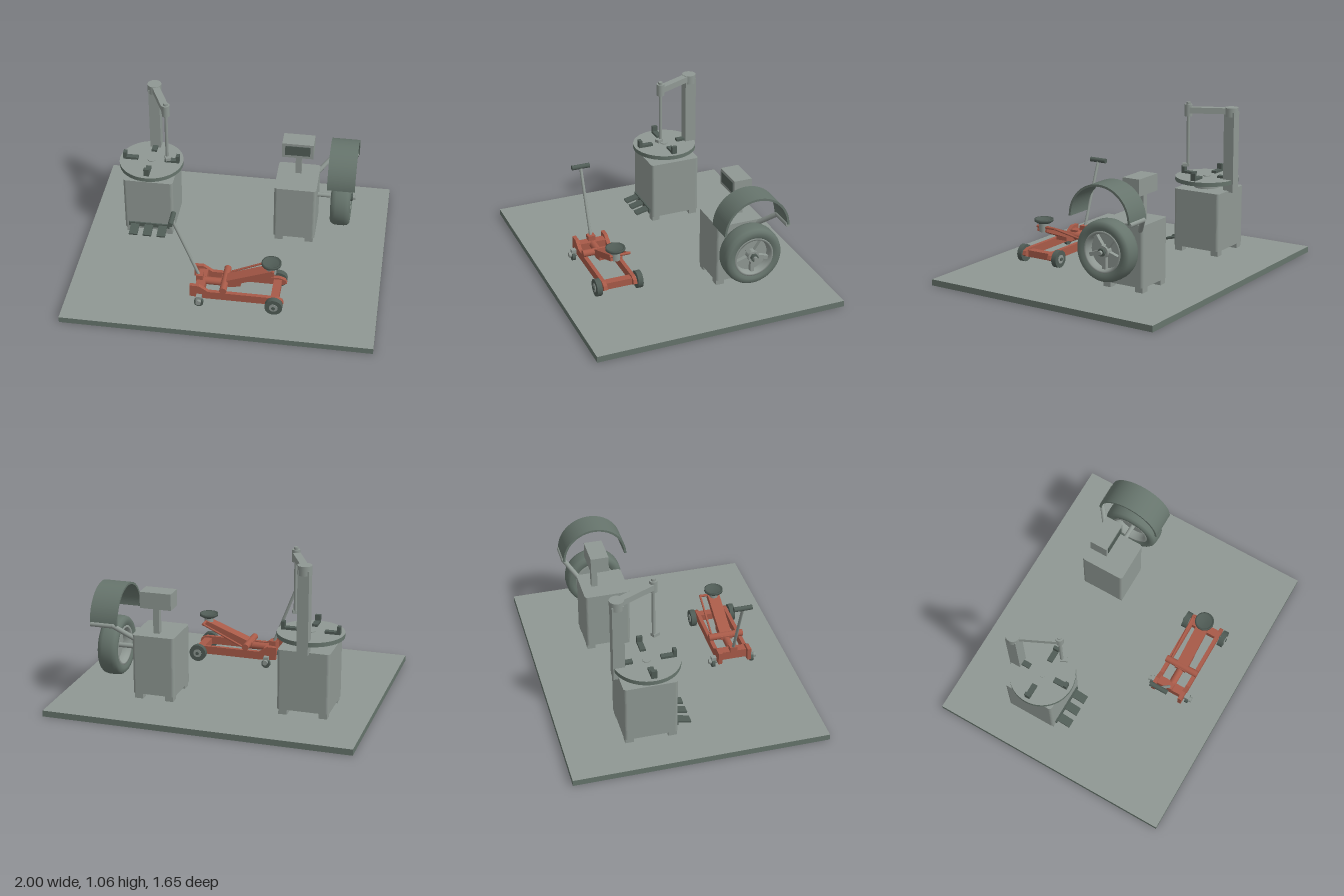
import * as THREE from 'three';

const mat = (name, color, side = THREE.FrontSide) => {
  const m = new THREE.MeshStandardMaterial({ color, side });
  m.name = name;
  return m;
};

export function createModel() {
  const light = mat('light grey paint', 0x8f9893);
  const green = mat('green grey rubber', 0x66746c, THREE.DoubleSide);
  const dark = mat('dark steel', 0x505c56);
  const red = mat('red paint', 0xa85a48);
  const root = new THREE.Group();
  root.name = 'tyreWorkshop';

  const group = (name) => {
    const g = new THREE.Group();
    g.name = name;
    root.add(g);
    return g;
  };
  const add = (parent, name, geo, m, x = 0, y = 0, z = 0) => {
    const mesh = new THREE.Mesh(geo, m);
    mesh.name = name;
    mesh.position.set(x, y, z);
    parent.add(mesh);
    return mesh;
  };
  const box = (p, name, m, w, h, d, x, y, z) => add(p, name, new THREE.BoxGeometry(w, h, d), m, x, y, z);
  const cyl = (p, name, m, r, h, x, y, z, axis = 'y', seg = 24) => {
    const c = add(p, name, new THREE.CylinderGeometry(r, r, h, seg), m, x, y, z);
    if (axis === 'x') c.rotation.z = -Math.PI / 2;
    if (axis === 'z') c.rotation.x = Math.PI / 2;
    return c;
  };
  // round bar between two points
  const bar = (p, name, m, r, a, b) => {
    const A = new THREE.Vector3(...a), B = new THREE.Vector3(...b);
    const c = cyl(p, name, m, r, A.distanceTo(B), 0, 0, 0, 'y', 16);
    c.position.copy(A).lerp(B, 0.5);
    c.quaternion.setFromUnitVectors(new THREE.Vector3(0, 1, 0), B.sub(A).normalize());
    return c;
  };
  // upright cabinet with rounded vertical corners
  const cabinet = (p, w, d, y0, y1, x, z, r = 0.02) => {
    const s = new THREE.Shape();
    const a = w / 2 - r, b = d / 2 - r;
    s.absarc(a, b, r, 0, Math.PI / 2);
    s.absarc(-a, b, r, Math.PI / 2, Math.PI);
    s.absarc(-a, -b, r, Math.PI, Math.PI * 1.5);
    s.absarc(a, -b, r, Math.PI * 1.5, Math.PI * 2);
    const g = new THREE.ExtrudeGeometry(s, { depth: y1 - y0, bevelEnabled: false, curveSegments: 5 });
    add(p, 'cabinet', g.rotateX(-Math.PI / 2), light, x, y0, z);
    for (const i of [-1, 1]) for (const j of [-1, 1])
      box(p, 'foot', light, 0.055, 0.04, 0.055, x + i * (w / 2 - 0.038), 0.06, z + j * (d / 2 - 0.034));
  };
  // side profile in x and y, extruded along z
  const plate = (p, name, m, pts, depth, z) => {
    const s = new THREE.Shape(pts.map(([x, y]) => new THREE.Vector2(x, y)));
    return add(p, name, new THREE.ExtrudeGeometry(s, { depth, bevelEnabled: false }), m, 0, 0, z - depth / 2);
  };

  // Floor slab
  box(root, 'floor', [green, green, light, light, green, green], 2, 0.04, 1.654, 0, 0.02, 0);

  // Tyre changer: cabinet, turntable and jaws
  const ch = group('tyreChanger');
  const cx = -0.59, cz = -0.256;
  cabinet(ch, 0.335, 0.345, 0.075, 0.47, cx, -0.27);
  cyl(ch, 'turntableNeck', light, 0.085, 0.046, cx, 0.493, cz, 'y', 32);
  add(ch, 'turntable', new THREE.CylinderGeometry(0.214, 0.214, 0.028, 48), [green, light, light], cx, 0.53, cz);
  cyl(ch, 'turntableHub', light, 0.027, 0.006, cx, 0.546, cz);
  for (let i = 0; i < 4; i++) {
    const jaw = new THREE.Group();
    jaw.name = 'jaw';
    jaw.position.set(cx, 0.544, cz);
    jaw.rotation.y = i * Math.PI / 2;
    box(jaw, 'jawSlide', dark, 0.1, 0.016, 0.036, 0.14, 0.008, 0);
    box(jaw, 'jawClaw', dark, 0.022, 0.052, 0.036, 0.179, 0.026, 0);
    ch.add(jaw);
  }
  // column, swing arm and mounting rod
  const hx = -0.467, hz = -0.179, kz = -0.438;
  box(ch, 'column', light, 0.072, 0.54, 0.075, cx, 0.73, kz);
  cyl(ch, 'columnCap', light, 0.046, 0.06, cx, 1.0, kz);
  const len = Math.hypot(hx - cx, hz - kz), turn = Math.atan2(hx - cx, hz - kz);
  box(ch, 'swingArm', light, 0.048, 0.04, len, (cx + hx) / 2, 1.007, (kz + hz) / 2).rotation.y = turn;
  cyl(ch, 'armHead', light, 0.026, 0.08, hx, 1.005, hz);
  cyl(ch, 'mountingRod', light, 0.011, 0.43, hx, 0.845, hz, 'y', 16);
  cyl(ch, 'rodKnob', light, 0.015, 0.02, hx, 1.05, hz, 'y', 16);
  box(ch, 'mountingFoot', light, 0.034, 0.02, 0.046, hx + 0.005, 0.635, hz + 0.012).rotation.y = turn;
  // pedals
  box(ch, 'pedalBar', dark, 0.28, 0.03, 0.012, cx, 0.113, -0.093);
  for (const i of [-1, 0, 1])
    box(ch, 'pedal', dark, 0.058, 0.012, 0.105, cx + i * 0.095, 0.105, -0.052).rotation.x = 0.24;

  // Wheel balancer: cabinet and display
  const ba = group('wheelBalancer');
  cabinet(ba, 0.28, 0.305, 0.075, 0.47, 0.39, -0.306);
  box(ba, 'displayPost', light, 0.04, 0.18, 0.04, 0.39, 0.56, -0.367);
  box(ba, 'displayBox', light, 0.208, 0.108, 0.12, 0.387, 0.692, -0.346);
  box(ba, 'screen', dark, 0.166, 0.07, 0.006, 0.387, 0.694, -0.285);
  const wy = 0.337, wz = -0.309;
  cyl(ba, 'shaft', light, 0.016, 0.25, 0.64, wy, wz, 'x');

  // mounted wheel, built along its own y axis
  const wheel = new THREE.Group();
  wheel.name = 'wheel';
  wheel.position.set(0.692, wy, wz);
  wheel.rotation.z = -Math.PI / 2;
  ba.add(wheel);
  const lathe = (pts, seg) => new THREE.LatheGeometry(pts.map(([r, y]) => new THREE.Vector2(r, y)), seg);
  add(wheel, 'tyre', lathe([[0.128, -0.055], [0.15, -0.066], [0.175, -0.064], [0.188, -0.05], [0.193, -0.03],
    [0.194, 0], [0.193, 0.03], [0.188, 0.05], [0.175, 0.064], [0.15, 0.066], [0.128, 0.055]], 48), green);
  const lightOpen = mat('light grey rim', 0x8f9893, THREE.DoubleSide);
  add(wheel, 'rim', lathe([[0.118, -0.058], [0.131, -0.058], [0.131, -0.05], [0.112, -0.035], [0.108, 0],
    [0.112, 0.035], [0.131, 0.05], [0.131, 0.06], [0.118, 0.06], [0.11, 0.035]], 48), lightOpen);
  cyl(wheel, 'rimDisc', light, 0.11, 0.01, 0, 0.005, 0, 'y', 40);
  cyl(wheel, 'hub', light, 0.038, 0.05, 0, 0.03, 0);
  cyl(wheel, 'nut', dark, 0.026, 0.02, 0, 0.064, 0, 'y', 6);
  cyl(wheel, 'shaftTip', light, 0.014, 0.03, 0, 0.077, 0, 'y', 16);
  for (let i = 0; i < 5; i++) {
    const a = i * Math.PI * 2 / 5;
    box(wheel, 'spoke', light, 0.085, 0.028, 0.024, Math.cos(a) * 0.072, 0.026, -Math.sin(a) * 0.072).rotation.y = a;
  }

  // hood over the wheel, with its bent support tube
  const hood = new THREE.Shape();
  hood.absarc(0, 0, 0.219, 0, Math.PI);
  hood.absarc(0, 0, 0.205, Math.PI, 0, true);
  const hg = new THREE.ExtrudeGeometry(hood, { depth: 0.182, bevelEnabled: false, curveSegments: 32 });
  add(ba, 'hood', hg.rotateY(Math.PI / 2), green, 0.603, 0.542, wz);
  const bend = [0.63, 0.54, -0.522];
  bar(ba, 'hoodArm', light, 0.016, [0.49, 0.41, -0.41], bend);
  bar(ba, 'hoodRail', light, 0.016, bend, [0.78, 0.54, -0.522]);
  add(ba, 'hoodElbow', new THREE.SphereGeometry(0.017, 16, 12), light, ...bend);

  // Trolley jack: frame
  const jk = group('trolleyJack');
  const jz = 0.448;
  for (const s of [-1, 1]) {
    plate(jk, 'sideRail', red, [[-0.2, 0.095], [-0.1, 0.085], [0.38, 0.085], [0.405, 0.1], [0.395, 0.125],
      [0.36, 0.14], [-0.08, 0.14], [-0.14, 0.18], [-0.2, 0.18]], 0.025, jz + s * 0.1);
    // front wheels
    cyl(jk, 'frontWheel', dark, 0.057, 0.035, 0.346, 0.098, jz + s * 0.138, 'z', 28);
    cyl(jk, 'frontWheelHub', light, 0.028, 0.042, 0.346, 0.098, jz + s * 0.138, 'z', 20);
    cyl(jk, 'frontWheelCap', dark, 0.012, 0.054, 0.346, 0.098, jz + s * 0.138, 'z', 12);
    // rear casters
    cyl(jk, 'caster', dark, 0.03, 0.022, -0.137, 0.07, jz + s * 0.133, 'z');
    cyl(jk, 'casterHub', light, 0.017, 0.054, -0.137, 0.082, jz + s * 0.136, 'z', 16);
    box(jk, 'casterFork', light, 0.034, 0.035, 0.036, -0.137, 0.1, jz + s * 0.127);
  }
  box(jk, 'frontCrossbar', red, 0.052, 0.045, 0.2, 0.346, 0.105, jz);
  box(jk, 'rearCrossbar', red, 0.058, 0.06, 0.2, -0.137, 0.13, jz);
  cyl(jk, 'pivotTube', red, 0.023, 0.235, 0.016, 0.162, jz, 'z');
  cyl(jk, 'hydraulicCylinder', red, 0.025, 0.14, -0.05, 0.14, jz, 'x');
  // lifting arm and saddle
  plate(jk, 'liftArm', red, [[-0.01, 0.145], [0.05, 0.135], [0.12, 0.15], [0.12, 0.175], [0.335, 0.26],
    [0.325, 0.3], [-0.01, 0.17]], 0.08, jz);
  bar(jk, 'linkRod', red, 0.007, [0.03, 0.15, jz - 0.09], [0.325, 0.288, jz - 0.09]);
  cyl(jk, 'linkPin', red, 0.009, 0.14, 0.325, 0.288, jz - 0.025, 'z', 12);
  cyl(jk, 'saddleNeck', light, 0.032, 0.065, 0.312, 0.288, jz);
  add(jk, 'saddle', lathe([[0, 0], [0.045, 0], [0.063, 0.012], [0.063, 0.027], [0.054, 0.027], [0.048, 0.014],
    [0, 0.012]], 32), dark, 0.312, 0.315, jz);
  // pump handle
  box(jk, 'handleSocket', red, 0.045, 0.05, 0.05, -0.15, 0.168, jz);
  bar(jk, 'handle', light, 0.01, [-0.155, 0.18, jz], [-0.322, 0.616, jz]);
  cyl(jk, 'grip', dark, 0.016, 0.122, -0.322, 0.617, jz, 'z', 20);

  return root;
}
